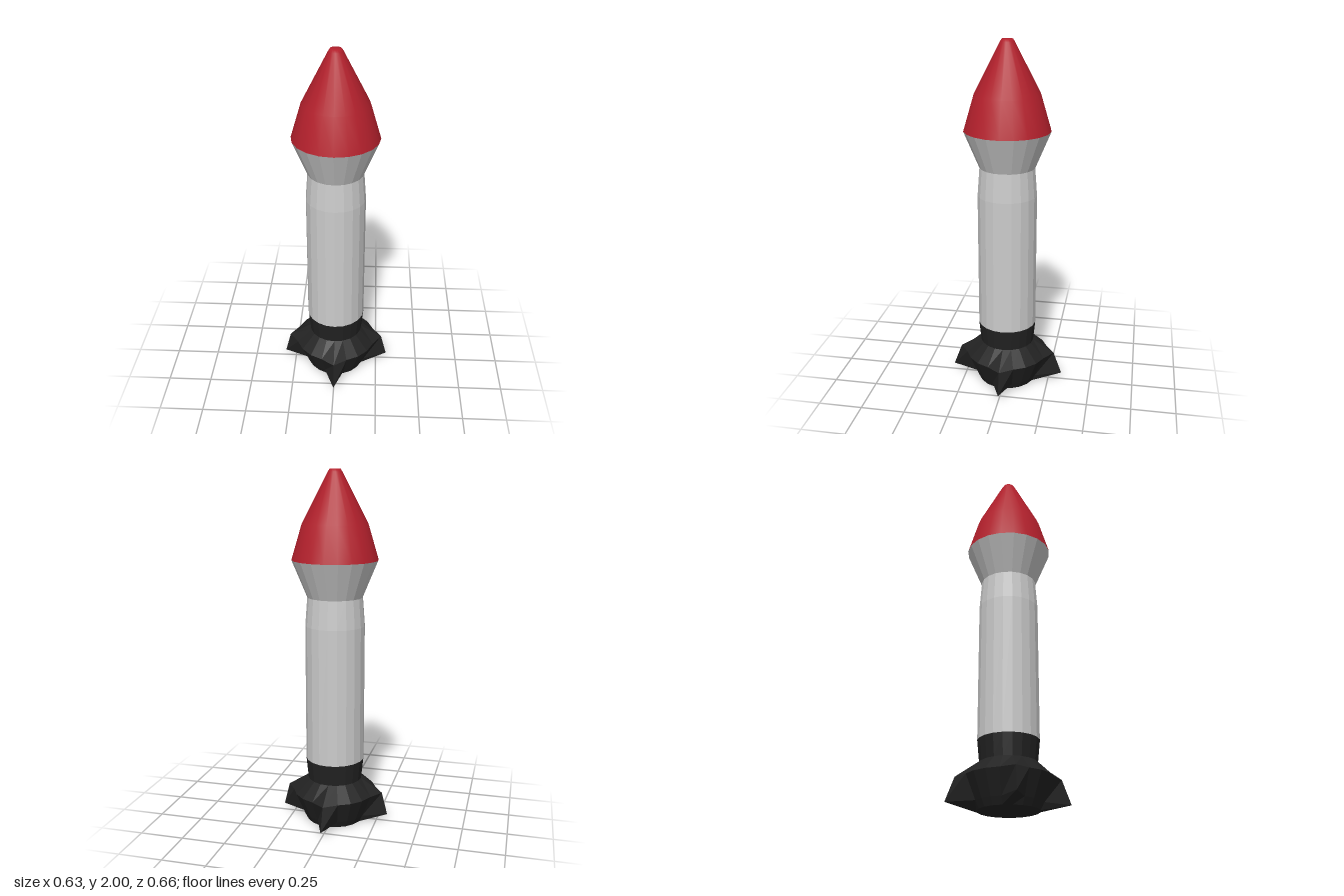
import * as THREE from 'three';

const SIDES = 20;

// Turned shell from [y, radius] rings listed top to bottom.
// adjust(ring, side) may return a different radius for single corners.
function turned(name, rings, color, flat, adjust) {
  const geo = new THREE.CylinderGeometry(1, 1, 1, SIDES, rings.length - 1, true);
  const pos = geo.attributes.position;
  for (let i = 0; i < pos.count; i++) {
    const ring = Math.floor(i / (SIDES + 1));
    const side = i % (SIDES + 1) % SIDES;
    const a = (side / SIDES) * Math.PI * 2;
    const r = adjust?.(ring, side) ?? rings[ring][1];
    pos.setXYZ(i, r * Math.sin(a), rings[ring][0], r * Math.cos(a));
  }
  geo.computeVertexNormals();
  const mesh = new THREE.Mesh(geo, new THREE.MeshStandardMaterial({ color, flatShading: flat }));
  mesh.name = name;
  return mesh;
}

export function createModel() {
  const group = new THREE.Group();
  group.name = 'rocket';

  // Rounded-off pointed nose, smooth
  const nose = new THREE.Mesh(
    new THREE.LatheGeometry(
      [[0.24, 1.515], [0.182, 1.71], [0.04, 1.985], [0.03, 2], [0, 2]].map(([x, y]) => new THREE.Vector2(x, y)),
      SIDES
    ),
    new THREE.MeshStandardMaterial({ color: 0xb3202c })
  );
  nose.name = 'noseCone';
  group.add(nose);

  // Flared collar and faceted tube
  group.add(turned('collar', [[1.515, 0.24], [1.31, 0.155]], 0xcccccc, true));
  group.add(turned('bodyTube', [[1.31, 0.155], [1.15, 0.167], [0.37, 0.167]], 0xcccccc, true));

  // Dark tail: every fifth corner is pulled out into a fin
  const tail = [[0.37, 0.167], [0.25, 0.155], [0.17, 0.24], [0.04, 0.185], [0, 0.165], [0.025, 0]];
  group.add(turned('tailWithFins', tail, 0x222222, true, (ring, side) => {
    if (side % 5) return undefined;
    const alongZ = side % 10 === 0;
    if (ring === 2) return 0.28;
    if (ring === 3) return alongZ ? 0.328 : 0.313;
    return undefined;
  }));

  return group;
}
